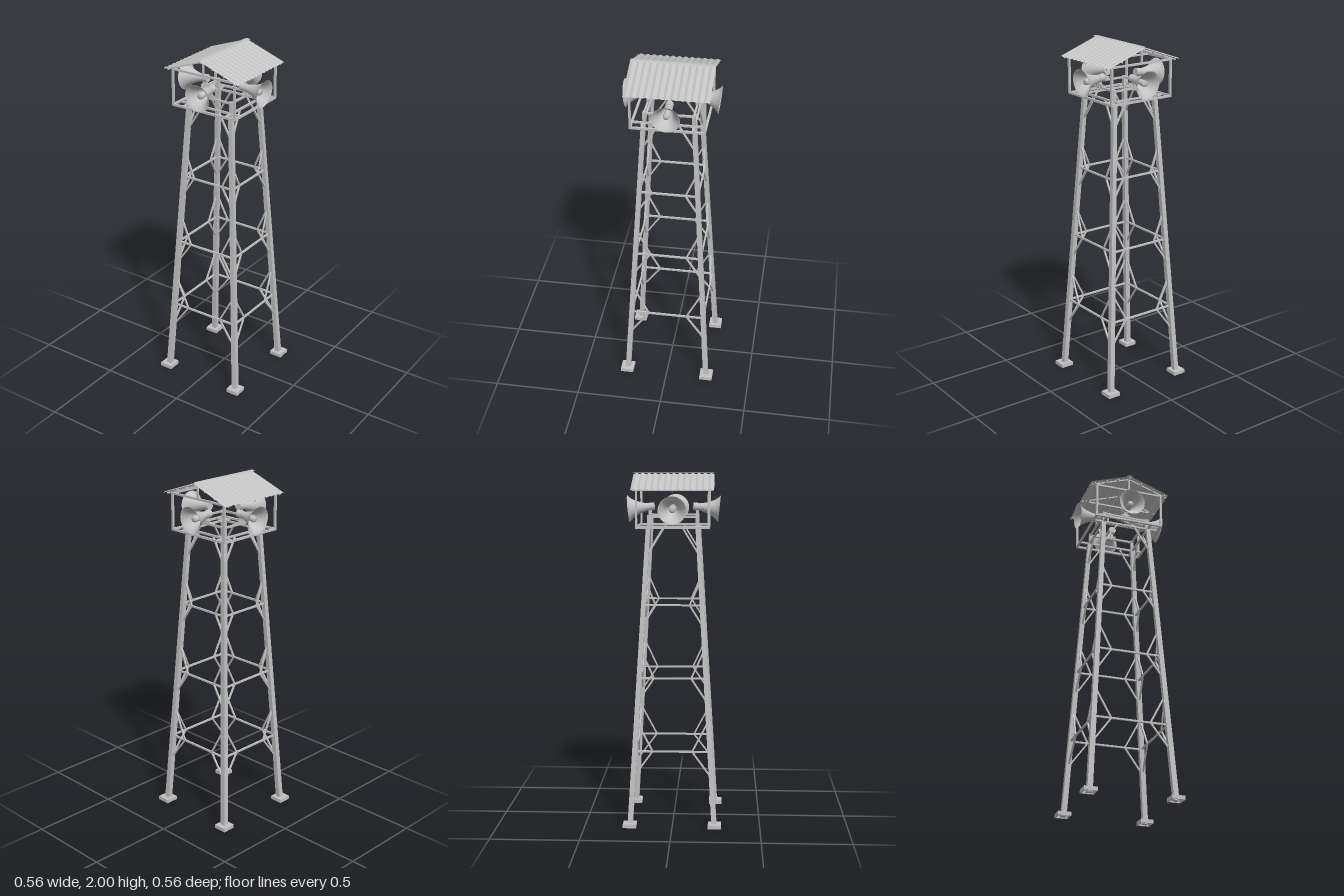
import * as THREE from 'three';

const steel = new THREE.MeshStandardMaterial({ color: 0xc3c3c3, side: THREE.DoubleSide });
steel.name = 'galvanised steel';

const legX = (y) => 0.24 - 0.06 * y; // legs lean inwards with height

function add(parent, name, geometry) {
  const mesh = new THREE.Mesh(geometry, steel);
  mesh.name = name;
  parent.add(mesh);
  return mesh;
}

// Square bar between two points
function bar(parent, name, a, b, w) {
  const p = new THREE.Vector3(...a), q = new THREE.Vector3(...b);
  const mesh = add(parent, name, new THREE.BoxGeometry(w, w, p.distanceTo(q)));
  mesh.position.copy(p).add(q).multiplyScalar(0.5);
  mesh.lookAt(q);
  return mesh;
}

// Leaning leg standing on a hollow foot, with a slim post on top for the horn rail
function corner(parent, sx, sz) {
  const h = 1.7;
  const leg = new THREE.BoxGeometry(0.03, h, 0.03).translate(0, h / 2, 0);
  const p = leg.attributes.position;
  for (let i = 0; i < p.count; i++) {
    const c = legX(p.getY(i));
    const k = 1 - 0.1 * p.getY(i);
    p.setXYZ(i, p.getX(i) * k + sx * c, p.getY(i), p.getZ(i) * k + sz * c);
  }
  leg.computeVertexNormals();
  add(parent, 'leg', leg);
  add(parent, 'railPost', new THREE.BoxGeometry(0.018, 0.066, 0.018)).position.set(sx * 0.134, 1.733, sz * 0.134);

  const foot = new THREE.Group();
  foot.name = 'foot';
  foot.position.set(sx * 0.242, 0, sz * 0.242);
  add(foot, 'footPlate', new THREE.BoxGeometry(0.076, 0.006, 0.076)).position.y = 0.019;
  for (let i = 0; i < 4; i++) {
    const rim = add(foot, 'footRim', new THREE.BoxGeometry(0.076, 0.018, 0.008).translate(0, 0.009, 0.034));
    rim.rotation.y = i * Math.PI / 2;
  }
  parent.add(foot);
}

// One face of the lattice, drawn facing +z
function latticeFace() {
  const face = new THREE.Group();
  face.name = 'latticeFace';
  const rings = [[0.435, 0.61, 0.285, 0.112], [0.853, 1.015, 0.715, 0.105], [1.266, 1.405, 1.145, 0.095]];
  for (const [y, up, down, kx] of rings) {
    const c = legX(y);
    bar(face, 'crossBar', [-c, y, c], [c, y, c], 0.01);
    for (const s of [-1, 1]) {
      for (const end of [up, down]) {
        const e = legX(end);
        bar(face, 'kneeBrace', [s * kx, y, c], [s * e, end, e], 0.009);
      }
    }
  }
  for (const s of [-1, 1]) {
    bar(face, 'topBrace', [s * legX(1.545), 1.545, legX(1.545)], [s * 0.055, 1.695, legX(1.695)], 0.009);
  }
  // Platform edge, floor beam, horn rail and top edge
  bar(face, 'platformEdge', [-0.205, 1.7, 0.2], [0.205, 1.7, 0.2], 0.012);
  bar(face, 'floorBeam', [-0.2, 1.7, 0.138], [0.2, 1.7, 0.138], 0.011);
  bar(face, 'hornRail', [-0.135, 1.757, 0.134], [0.135, 1.757, 0.134], 0.011);
  bar(face, 'topEdge', [-0.2, 1.905, 0.2], [0.2, 1.905, 0.2], 0.011);
  bar(face, 'post', [0.2, 1.7, 0.2], [0.2, 1.905, 0.2], 0.012);
  return face;
}

// Loudspeaker facing +z and tipped slightly down
function loudspeaker() {
  const horn = new THREE.Group();
  horn.name = 'loudspeaker';
  const lathe = (pts, n) => new THREE.LatheGeometry(pts.map(([r, z]) => new THREE.Vector2(r, z)), n).rotateX(Math.PI / 2);
  const bell = new THREE.Group();
  bell.name = 'bell';
  bell.position.set(0, 1.796, 0.256);
  bell.rotation.x = 0.1;
  add(bell, 'flare', lathe([[0.018, -0.13], [0.022, -0.1], [0.029, -0.075], [0.038, -0.05], [0.05, -0.027],
    [0.063, -0.01], [0.074, 0], [0.078, 0.002]], 40));
  add(bell, 'driver', new THREE.CylinderGeometry(0.022, 0.022, 0.032, 24).rotateX(Math.PI / 2)).position.z = -0.131;
  add(bell, 'centreTube', lathe([[0, -0.02], [0.014, -0.02], [0.018, -0.03], [0.013, -0.12]], 24));
  horn.add(bell);
  bar(horn, 'hornBracket', [0, 1.757, 0.134], [0, 1.79, 0.134], 0.018);
  bar(horn, 'hornBracketPlate', [-0.025, 1.77, 0.134], [0.025, 1.77, 0.134], 0.012);
  return horn;
}

function roof() {
  const group = new THREE.Group();
  group.name = 'roof';
  const eaveX = 0.242, eaveY = 1.908, ridgeY = 1.994, halfZ = 0.229;
  const angle = Math.atan2(ridgeY - eaveY, eaveX);
  for (const s of [-1, 1]) {
    // Corrugated sheet
    const sheet = new THREE.PlaneGeometry(1, 2 * halfZ, 1, 156);
    const p = sheet.attributes.position;
    for (let i = 0; i < p.count; i++) {
      const t = p.getX(i) * s + 0.5, z = -p.getY(i);
      const wave = 0.003 * Math.cos((z / halfZ) * 13 * Math.PI);
      p.setXYZ(i, s * (eaveX * t + wave * Math.sin(angle)),
        ridgeY + (eaveY - ridgeY) * t + wave * Math.cos(angle), z);
    }
    sheet.computeVertexNormals();
    add(group, 'roofSheet', sheet);

    // Rafters and purlins under the sheet
    for (const z of [-0.2, 0, 0.2]) {
      bar(group, 'rafter', [s * 0.234, eaveY - 0.007, z], [0, ridgeY - 0.011, z], 0.008);
    }
    for (const t of [0.3, 0.6, 0.9]) {
      const y = ridgeY + (eaveY - ridgeY) * t - 0.011;
      bar(group, 'purlin', [s * eaveX * t, y, -0.222], [s * eaveX * t, y, 0.222], 0.008);
    }
  }

  // Ridge cap, gently bent over the ridge
  const cap = new THREE.PlaneGeometry(0.036, 0.454, 2, 1).rotateX(-Math.PI / 2);
  const c = cap.attributes.position;
  for (let i = 0; i < c.count; i++) c.setY(i, 2 - 0.25 * Math.abs(c.getX(i)));
  cap.computeVertexNormals();
  add(group, 'ridgeCap', cap);

  for (const z of [-0.2, 0.2]) bar(group, 'kingPost', [0, 1.905, z], [0, 1.985, z], 0.01);
  bar(group, 'middleTie', [-0.2, 1.905, 0], [0.2, 1.905, 0], 0.01);
  bar(group, 'ridgeBeam', [0, 1.983, -0.222], [0, 1.983, 0.222], 0.01);
  return group;
}

export function createModel() {
  const model = new THREE.Group();
  model.name = 'loudspeakerTower';
  for (const sx of [-1, 1]) for (const sz of [-1, 1]) corner(model, sx, sz);
  for (let i = 0; i < 4; i++) {
    for (const part of [latticeFace(), loudspeaker()]) {
      part.rotation.y = i * Math.PI / 2;
      model.add(part);
    }
  }
  model.add(roof());
  return model;
}
